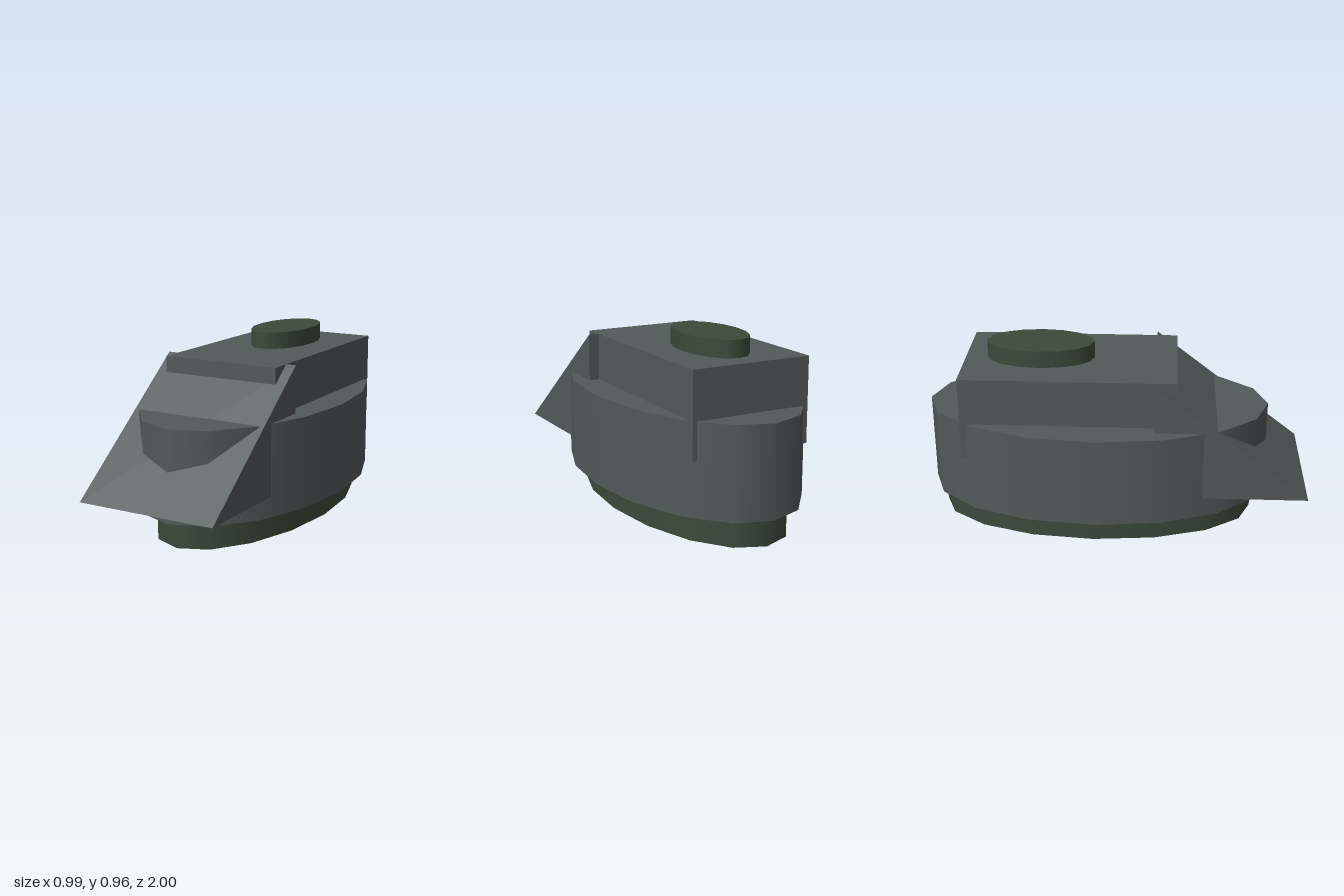
import * as THREE from 'three';

export function createModel() {
  const group = new THREE.Group();
  const hullMat = new THREE.MeshStandardMaterial({ color: 0x525a5a });
  const greenMat = new THREE.MeshStandardMaterial({ color: 0x3b4a3a });

  const add = (name, geometry, material) => {
    const mesh = new THREE.Mesh(geometry, material);
    mesh.name = name;
    group.add(mesh);
  };

  // Upright 16-sided oval drum between two heights
  const drum = (name, rx, rz, y0, y1, z, material) => {
    const g = new THREE.CylinderGeometry(1, 1, y1 - y0, 16);
    g.scale(rx, 1, rz);
    g.translate(0, (y0 + y1) / 2, z);
    add(name, g, material);
  };

  drum('base', 0.4, 0.84, 0, 0.145, -0.11, greenMat);
  drum('body', 0.495, 0.9, 0.145, 0.622, -0.1, hullMat);
  drum('topHatch', 0.157, 0.282, 0.87, 0.96, -0.4, greenMat);

  // Upper housing, sunk into the body
  const housing = new THREE.BoxGeometry(0.65, 0.44, 1.11);
  housing.translate(0, 0.65, -0.24);
  add('upperHousing', housing, hullMat);

  // Sloping nose: triangular side profile swept across the width
  const profile = new THREE.Shape([
    new THREE.Vector2(0.205, 0.252),
    new THREE.Vector2(1, 0.252),
    new THREE.Vector2(0.205, 0.87),
  ]);
  const nose = new THREE.ExtrudeGeometry(profile, { depth: 0.76, bevelEnabled: false });
  nose.rotateY(-Math.PI / 2);
  nose.translate(0.38, 0, 0);
  add('noseWedge', nose, hullMat);

  return group;
}
